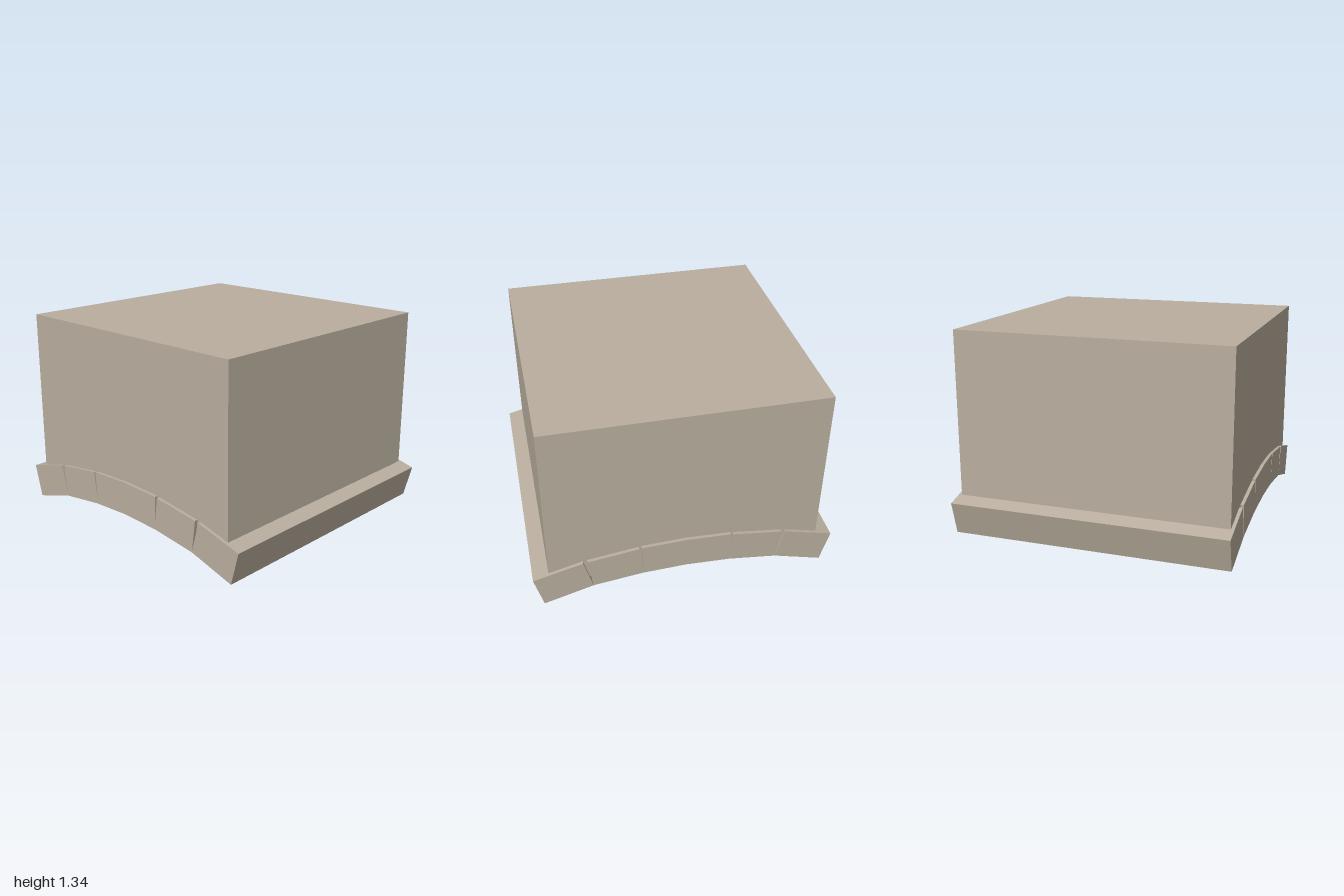
import * as THREE from 'three';

export function createModel() {
  const model = new THREE.Group();
  const stone = new THREE.MeshStandardMaterial({ color: 0xb9ae9e });
  stone.name = 'stone';

  // Extrude a front outline, centred on z = 0
  function addPrism(name, points, depth) {
    const shape = new THREE.Shape(points.map(([x, y]) => new THREE.Vector2(x, y)));
    const geometry = new THREE.ExtrudeGeometry(shape, { depth, bevelEnabled: false });
    geometry.translate(0, 0, -depth / 2);
    const mesh = new THREE.Mesh(geometry, stone);
    mesh.name = name;
    model.add(mesh);
  }

  // Wall block resting on the arch
  const bottom = 0.16, top = 1.34;
  const wall = new THREE.Mesh(new THREE.BoxGeometry(1.794, top - bottom, 1.8), stone);
  wall.name = 'wallBlock';
  wall.position.y = (bottom + top) / 2;
  model.add(wall);

  // Arch stones, separated by narrow wedge-shaped gaps
  const depth = 1.844;
  addPrism('keystone', [
    [-0.285, 0.136], [0, 0.148], [0.285, 0.136],
    [0.295, 0.36], [0, 0.371], [-0.295, 0.36],
  ], depth);

  const outlines = {
    InnerArchStone: [[0.283, 0.137], [0.618, 0.094], [0.647, 0.311], [0.312, 0.356]],
    OuterArchStone: [[0.617, 0.094], [0.942, 0], [1, 0.22], [0.675, 0.306]],
  };
  for (const [name, points] of Object.entries(outlines)) {
    addPrism('left' + name, points, depth);
    addPrism('right' + name, points.map(([x, y]) => [-x, y]), depth);
  }
  return model;
}
